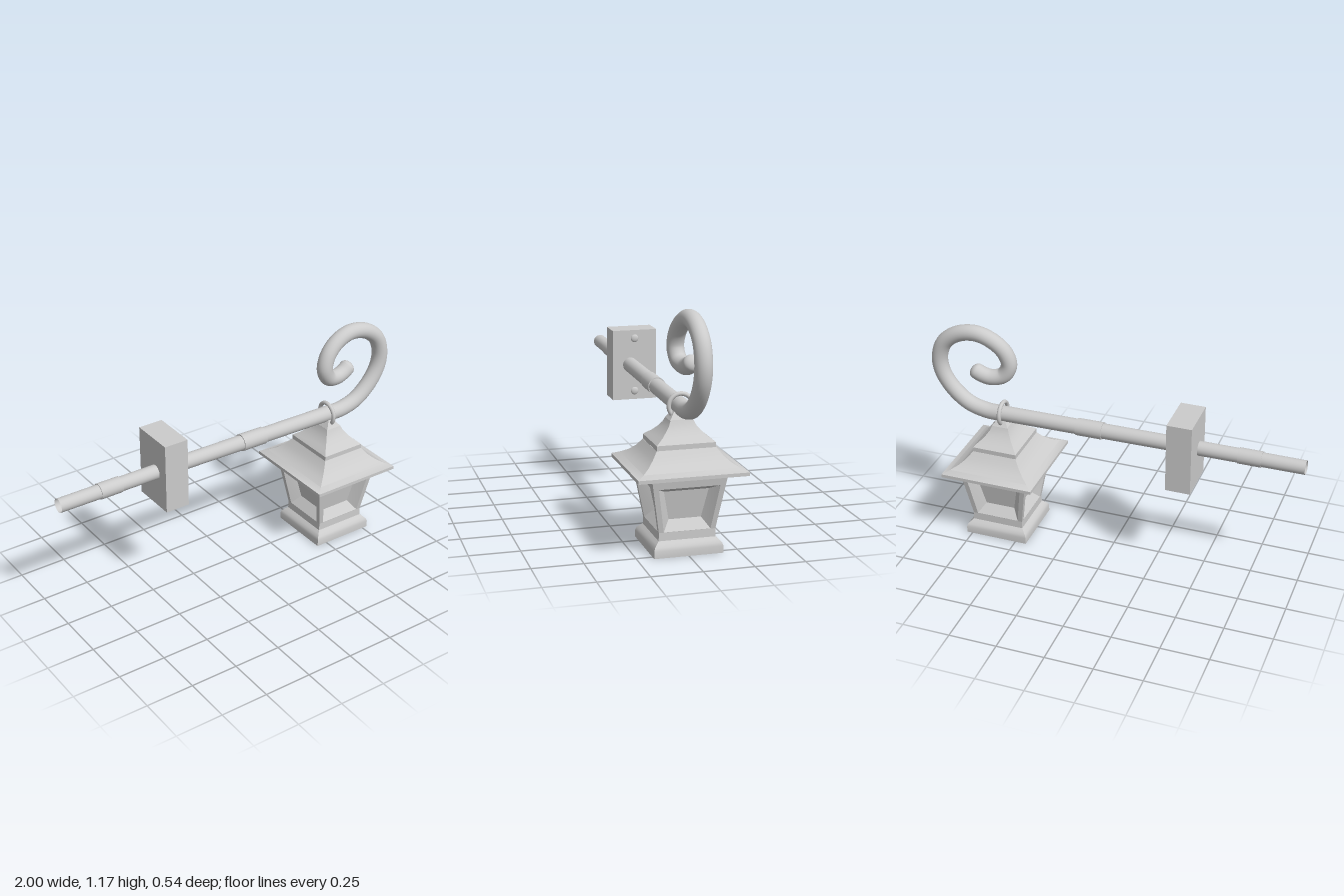
import * as THREE from 'three';
import { toCreasedNormals } from 'three/addons/utils/BufferGeometryUtils.js';

const material = new THREE.MeshStandardMaterial({ color: 0xcccccc });
const openMaterial = new THREE.MeshStandardMaterial({ color: 0xcccccc, side: THREE.DoubleSide });
const LANTERN_X = 0.61;

function addMesh(parent, name, geometry, mat = material) {
  const mesh = new THREE.Mesh(geometry, mat);
  mesh.name = name;
  parent.add(mesh);
  return mesh;
}

// Geometry from a list of quads, each four [x, y, z] corners, counterclockwise from outside
function quadGeometry(quads, crease = 0.6) {
  const positions = [];
  for (const [a, b, c, d] of quads) positions.push(...a, ...b, ...c, ...a, ...c, ...d);
  const geometry = new THREE.BufferGeometry();
  geometry.setAttribute('position', new THREE.Float32BufferAttribute(positions, 3));
  return toCreasedNormals(geometry, crease);
}

// Closed rectangular loft through rows of [y, half width, half depth]
function rectLoft(rows) {
  const rings = rows.map(([y, w, d = w]) => [[w, y, d], [w, y, -d], [-w, y, -d], [-w, y, d]]);
  const quads = [[...rings[0]].reverse(), rings[rings.length - 1]];
  for (let r = 0; r < rings.length - 1; r++) {
    for (let i = 0; i < 4; i++) {
      const j = (i + 1) % 4;
      quads.push([rings[r][i], rings[r][j], rings[r + 1][j], rings[r + 1][i]]);
    }
  }
  return quadGeometry(quads);
}

// One flared wall of the lantern facing +z, with a splayed, recessed window
function windowWall() {
  const wallZ = (y) => 0.139 + (y - 0.115) * 0.168;
  const ring = (y0, w0, y1, w1, inset) => [
    [-w0, y0, wallZ(y0) - inset], [w0, y0, wallZ(y0) - inset],
    [w1, y1, wallZ(y1) - inset], [-w1, y1, wallZ(y1) - inset],
  ];
  const rings = [
    ring(0.115, 0.139, 0.395, wallZ(0.395), 0),
    ring(0.116, 0.115, 0.337, 0.15, 0),
    ring(0.165, 0.08, 0.31, 0.11, 0.05),
  ];
  const quads = [rings[2]];
  for (let r = 0; r < 2; r++) {
    for (let i = 0; i < 4; i++) {
      const j = (i + 1) % 4;
      quads.push([rings[r][i], rings[r][j], rings[r + 1][j], rings[r + 1][i]]);
    }
  }
  return quadGeometry(quads, 0.2);
}

// Straight round bar between two points
function addBar(parent, name, from, to, r0, r1, open) {
  const a = new THREE.Vector3(...from), b = new THREE.Vector3(...to);
  const dir = b.clone().sub(a);
  const geometry = new THREE.CylinderGeometry(r1, r0, dir.length(), 32, 1, open);
  const bar = addMesh(parent, name, geometry, open ? openMaterial : material);
  bar.position.copy(a).add(b).multiplyScalar(0.5);
  bar.quaternion.setFromUnitVectors(new THREE.Vector3(0, 1, 0), dir.normalize());
}

function createLantern() {
  const lantern = new THREE.Group();
  lantern.name = 'lantern';
  lantern.position.x = LANTERN_X;

  // Stepped foot
  addMesh(lantern, 'lanternBase', rectLoft([
    [0, 0.17], [0.035, 0.17], [0.05, 0.165], [0.063, 0.153], [0.075, 0.14], [0.115, 0.139],
  ]));

  // Four window walls
  const wall = windowWall();
  for (let i = 0; i < 4; i++) {
    addMesh(lantern, 'windowWall', wall).rotation.y = i * Math.PI / 2;
  }

  // Swept roof with a stepped cap
  addMesh(lantern, 'roof', rectLoft([
    [0.393, 0.25, 0.268], [0.41, 0.25, 0.268], [0.425, 0.215, 0.234], [0.445, 0.178, 0.2],
    [0.472, 0.147, 0.171], [0.507, 0.12, 0.145],
  ]));
  addMesh(lantern, 'roofCap', rectLoft([
    [0.5, 0.12, 0.144], [0.531, 0.12, 0.144], [0.542, 0.109, 0.13], [0.558, 0.09, 0.108],
    [0.58, 0.07, 0.086], [0.605, 0.053, 0.066], [0.63, 0.043, 0.055],
  ]));
  addMesh(lantern, 'finial', rectLoft([[0.628, 0.043, 0.058], [0.637, 0.036, 0.05], [0.665, 0.016, 0.03]]));

  // Hanging ring around the arm
  const ring = addMesh(lantern, 'hangingRing', new THREE.TorusGeometry(0.058, 0.011, 12, 40));
  ring.position.set(0, 0.688, -0.006);
  ring.rotation.y = Math.PI / 2;
  return lantern;
}

function createArm() {
  const arm = new THREE.Group();
  arm.name = 'arm';

  // Rod with an open left end
  addBar(arm, 'rearRod', [-1, 0.695, -0.012], [-0.4, 0.694, -0.012], 0.036, 0.038, true);
  addBar(arm, 'rearSleeve', [-0.78, 0.695, -0.012], [-0.66, 0.695, -0.012], 0.041, 0.041, false);
  addBar(arm, 'frontRod', [-0.4, 0.694, -0.012], [0.61, 0.685, -0.008], 0.039, 0.041, true);
  addBar(arm, 'frontSleeve', [0.055, 0.69, -0.01], [0.195, 0.689, -0.01], 0.045, 0.045, false);

  // Scroll at the right end
  const points = [
    [0.6, 0.685, -0.008], [0.7, 0.686, -0.007], [0.8, 0.715, -0.007], [0.89, 0.79, -0.007],
    [0.943, 0.88, -0.007], [0.952, 0.965, -0.007], [0.92, 1.05, -0.007], [0.84, 1.11, -0.007],
    [0.74, 1.127, -0.006], [0.65, 1.095, -0.002], [0.59, 1.035, 0.006], [0.572, 0.965, 0.01],
    [0.603, 0.907, 0.004], [0.665, 0.89, -0.008], [0.71, 0.9, -0.014], [0.742, 0.917, -0.018],
  ].map((p) => new THREE.Vector3(...p));
  const curve = new THREE.CatmullRomCurve3(points);
  addMesh(arm, 'scroll', new THREE.TubeGeometry(curve, 120, 0.042, 24), openMaterial);
  const tip = addMesh(arm, 'scrollTip', new THREE.SphereGeometry(0.042, 24, 16));
  tip.position.copy(points[points.length - 1]);
  tip.rotation.z = Math.PI / 6;
  tip.scale.x = 0.75;
  return arm;
}

function createBracket() {
  const bracket = new THREE.Group();
  bracket.name = 'wallBracket';
  const block = addMesh(bracket, 'bracketBlock', new THREE.BoxGeometry(0.13, 0.375, 0.238));
  block.position.set(-0.39, 0.692, -0.036);

  // Bolt heads on the face beside the arm
  for (const y of [0.835, 0.55]) {
    const bolt = addMesh(bracket, 'bolt', new THREE.SphereGeometry(0.021, 20, 12));
    bolt.position.set(-0.326, y, -0.036);
    bolt.scale.x = 0.45;
  }
  return bracket;
}

export function createModel() {
  const model = new THREE.Group();
  model.name = 'hangingLantern';
  model.add(createLantern(), createArm(), createBracket());
  return model;
}
